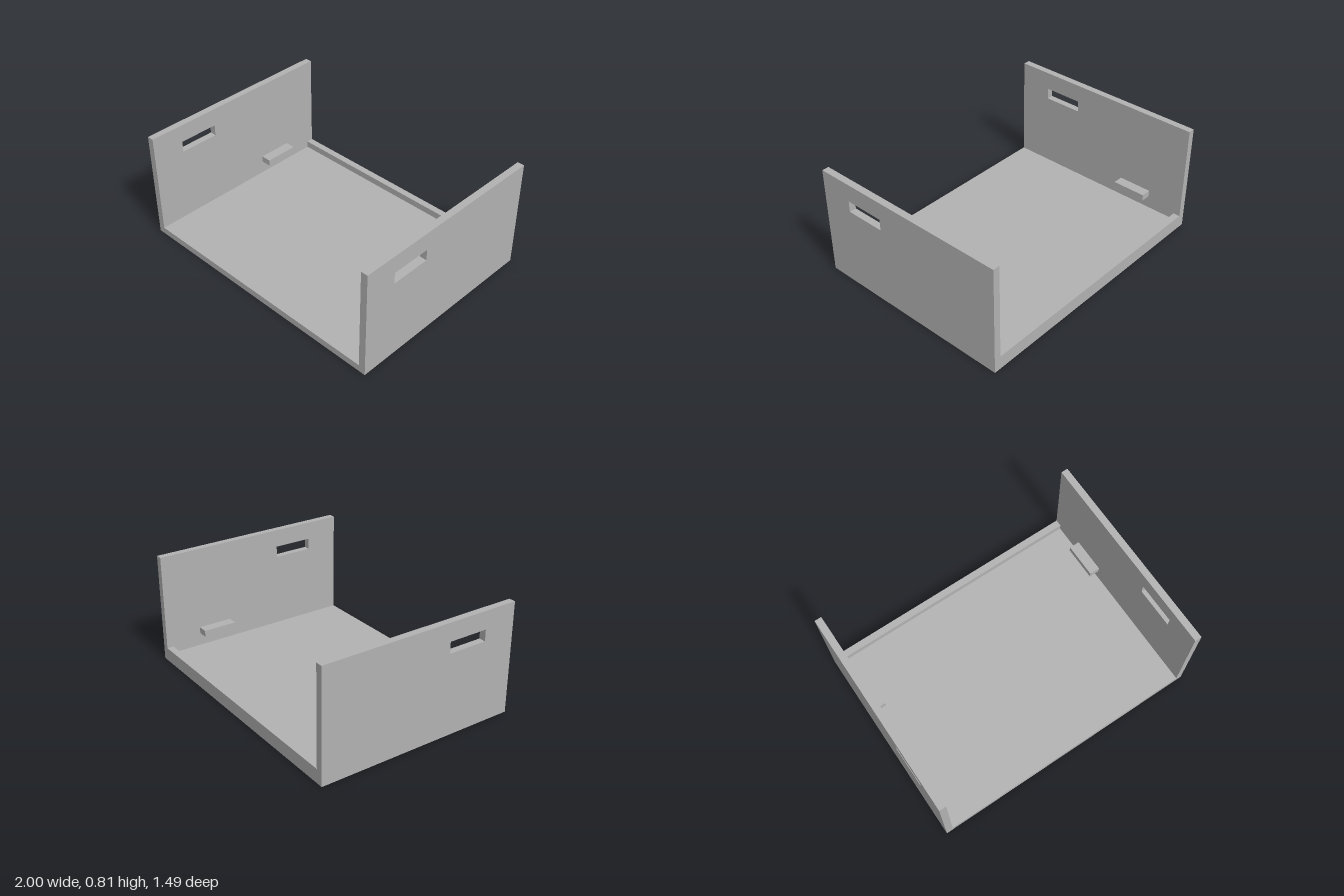
import * as THREE from 'three';

const W = 1, D = 0.744, H = 0.805, T = 0.05; // half width, half depth, height, board thickness

export function createModel() {
  const group = new THREE.Group();
  const grey = new THREE.MeshStandardMaterial({ color: 0xb2b2b2 });
  grey.name = 'plain grey';

  const add = (name, geometry) => {
    const mesh = new THREE.Mesh(geometry, grey);
    mesh.name = name;
    group.add(mesh);
  };
  // Box given by its lower and upper corners
  const box = (name, [x0, y0, z0], [x1, y1, z1]) =>
    add(name, new THREE.BoxGeometry(x1 - x0, y1 - y0, z1 - z0)
      .translate((x0 + x1) / 2, (y0 + y1) / 2, (z0 + z1) / 2));
  const rect = (path, a0, b0, a1, b1) =>
    path.moveTo(a0, b0).lineTo(a1, b0).lineTo(a1, b1).lineTo(a0, b1).closePath();

  // Floor and low lip along the back edge
  box('floor', [-W + T, 0, -D], [W - T, T, D]);
  box('backLip', [-W + T, T, -D], [W - T, 0.1, -D + T]);

  // Side wall outline (z, y) with the hand slot cut through
  const outline = rect(new THREE.Shape(), -D, 0, D, H);
  outline.holes.push(rect(new THREE.Path(), 0.215, 0.592, 0.506, 0.674));

  for (const [side, s] of [['left', 1], ['right', -1]]) {
    add(side + 'Wall', new THREE.ExtrudeGeometry(outline, { depth: T, bevelEnabled: false })
      .rotateY(-Math.PI / 2)
      .translate(s > 0 ? W : -W + T, 0, 0));
    // Small support block on the inner face
    const xs = [s * 0.873, s * (W - T)].sort((a, b) => a - b);
    box(side + 'SupportBlock', [xs[0], 0.145, -0.47], [xs[1], 0.193, -0.215]);
  }
  return group;
}
